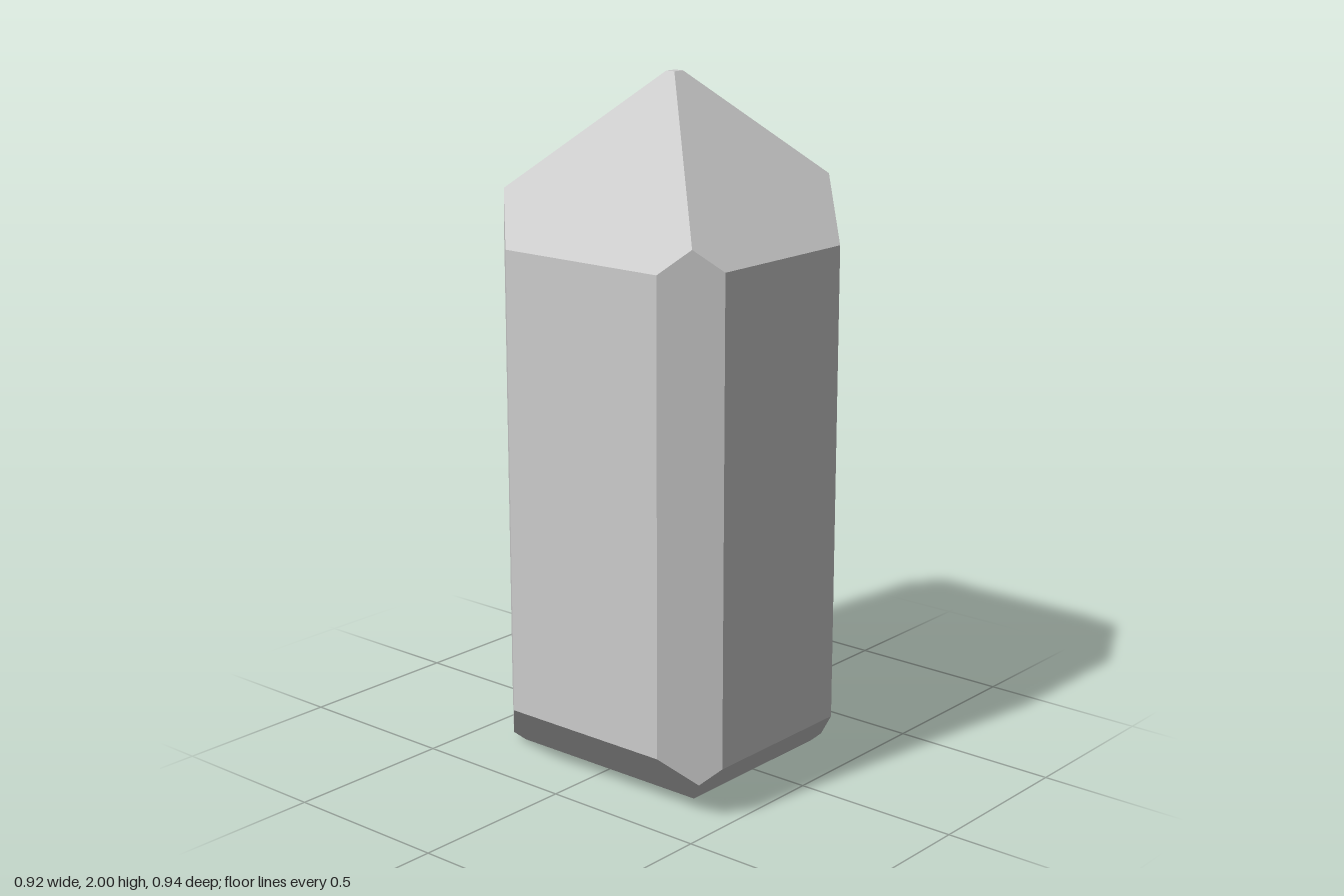
import * as THREE from 'three';
import { ConvexGeometry } from 'three/addons/geometries/ConvexGeometry.js';

// Half sizes of the prism and its full height
const X = 0.459, Z = 0.472, H = 2;

// Each side: half width of the tip and of the foot; all bevels slope at 45 degrees
const sides = {
  left: { tip: 0.039, foot: 0.28 },
  right: { tip: -0.002, foot: 0.27 },
  front: { tip: 0.015, foot: 0.319 },
  back: { tip: 0.015, foot: 0.337 },
};

// Vertical corner facets: cut is the limit of |x| + |z|
const corners = [
  { sx: 1, sz: 1, a: sides.left, b: sides.front, cut: 0.641 },
  { sx: 1, sz: -1, a: sides.left, b: sides.back, cut: 0.844 },
  { sx: -1, sz: 1, a: sides.right, b: sides.front, cut: 0.804 },
  { sx: -1, sz: -1, a: sides.right, b: sides.back, cut: 0.658 },
];

export function createModel() {
  const points = [];
  for (const { sx, sz, a, b, cut } of corners) {
    const add = (x, y, z) => points.push(new THREE.Vector3(sx * x, y, sz * z));
    // Upper end uses the tip, lower end the foot; d is the distance from that end
    for (const [key, height] of [['tip', (d) => H - d], ['foot', (d) => d]]) {
      const p = a[key], q = b[key];
      const d = (cut - p - q) / 2;
      add(p, height(0), q);                 // end cap corner
      add(p + d, height(d), q + d);         // bevel edge meets corner facet
      add(X, height(X - p), cut - X);       // corner facet meets side wall
      add(cut - Z, height(Z - q), Z);       // corner facet meets front or back wall
    }
  }
  const crystal = new THREE.Mesh(
    new ConvexGeometry(points),
    new THREE.MeshStandardMaterial({ color: 0xcccccc, flatShading: true })
  );
  crystal.name = 'crystal';

  const group = new THREE.Group();
  group.name = 'crystalShard';
  group.add(crystal);
  return group;
}
